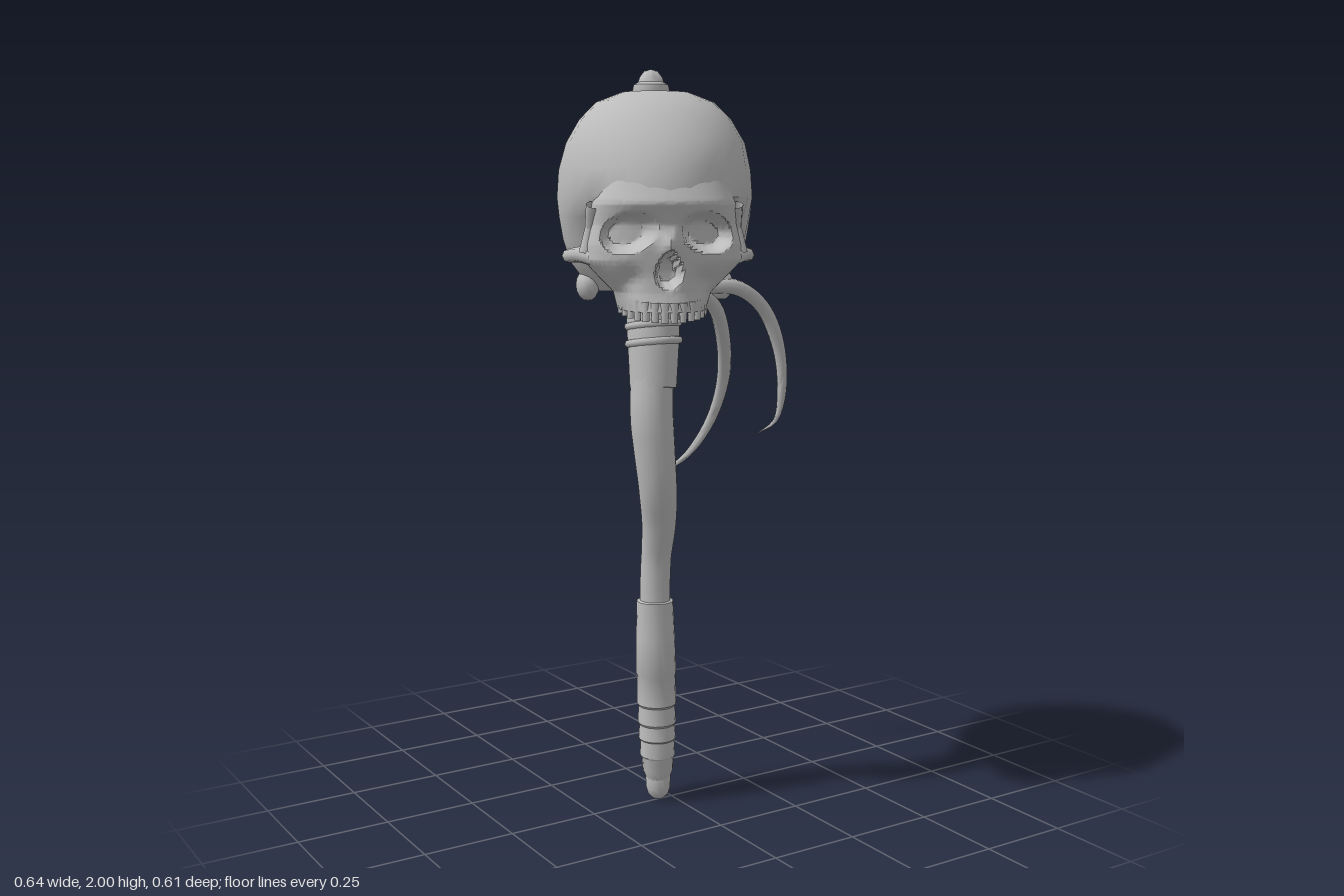
import * as THREE from 'three';
import { mergeVertices, toCreasedNormals } from 'three/addons/utils/BufferGeometryUtils.js';

const bone = new THREE.MeshStandardMaterial({ color: 0xbcbcbc, side: THREE.DoubleSide });
bone.name = 'grey bone';

const V = (x, y, z) => new THREE.Vector3(x, y, z);
const smooth = THREE.MathUtils.smoothstep;

// Linear lookup in rows sorted by their first value; returns column c
function lookup(rows, k, c = 1) {
  let i = 0;
  while (i < rows.length - 2 && k > rows[i + 1][0]) i++;
  const a = rows[i], b = rows[i + 1];
  const t = THREE.MathUtils.clamp((k - a[0]) / (b[0] - a[0]), 0, 1);
  return a[c] + (b[c] - a[c]) * t;
}

// Weld seams and give smooth normals with creases at sharp edges
function finish(geo, crease) {
  geo.deleteAttribute('uv');
  geo.deleteAttribute('normal');
  return toCreasedNormals(mergeVertices(geo, 1e-5), crease);
}

function add(parent, name, geo, x = 0, y = 0, z = 0) {
  const mesh = new THREE.Mesh(geo, bone);
  mesh.name = name;
  mesh.position.set(x, y, z);
  parent.add(mesh);
  return mesh;
}

// Surface from a rule f(u, v) -> point
function surface(nu, nv, f, crease) {
  const geo = new THREE.PlaneGeometry(1, 1, nu, nv);
  const p = geo.attributes.position;
  for (let i = 0; i < p.count; i++) {
    const q = f(p.getX(i) + 0.5, p.getY(i) + 0.5);
    p.setXYZ(i, q.x, q.y, q.z);
  }
  return finish(geo, crease);
}

// Tube along points with radius rows [t, radius]
function taperedTube(points, radii, steps, sides, crease = 0.8) {
  const curve = new THREE.CatmullRomCurve3(points.map(p => V(...p)));
  const geo = new THREE.TubeGeometry(curve, steps, 1, sides, false);
  const p = geo.attributes.position, v = V(0, 0, 0);
  for (let i = 0; i < p.count; i++) {
    const t = Math.floor(i / (sides + 1)) / steps;
    const c = curve.getPointAt(t);
    v.fromBufferAttribute(p, i).sub(c).multiplyScalar(lookup(radii, t)).add(c);
    p.setXYZ(i, v.x, v.y, v.z);
  }
  return finish(geo, crease);
}

// Cranium cross-sections: y, half width, front, back
const CRANIUM = [
  [1.45, 0, 0, 0], [1.45, 0.08, 0.02, 0.07], [1.425, 0.15, 0.05, 0.13],
  [1.46, 0.195, 0.08, 0.2], [1.5, 0.225, 0.11, 0.26], [1.56, 0.245, 0.15, 0.3],
  [1.62, 0.255, 0.2, 0.314], [1.67, 0.26, 0.3, 0.315], [1.74, 0.255, 0.29, 0.3],
  [1.81, 0.235, 0.25, 0.265], [1.87, 0.2, 0.2, 0.22], [1.915, 0.155, 0.145, 0.165],
  [1.94, 0.09, 0.08, 0.1], [1.945, 0, 0, 0],
];

function craniumPoint(u, v) {
  const [y, w, f, b] = CRANIUM[Math.round(v * (CRANIUM.length - 1))];
  const a = u * Math.PI * 2, c = Math.cos(a);
  const pinch = y < 1.78 && c > 0 ? 1 - 0.1 * c : 1;
  return V(w * Math.sin(a) * pinch, y, (c > 0 ? f : b) * c);
}

// Face cross-sections: y, half width, front, back
const FACE = [
  [1.385, 0.112, 0.292, 0.1], [1.43, 0.125, 0.28, 0.12], [1.47, 0.165, 0.278, 0.13],
  [1.51, 0.203, 0.28, 0.14], [1.55, 0.202, 0.284, 0.135], [1.6, 0.19, 0.285, 0.13],
  [1.655, 0.185, 0.313, 0.14], [1.71, 0.16, 0.285, 0.15],
];

function facePoint(u, v) {
  const y = 1.385 + v * 0.325;
  const w = lookup(FACE, y, 1), f = lookup(FACE, y, 2), b = lookup(FACE, y, 3);
  const a = (u - 0.5) * Math.PI * 1.25, c = Math.cos(a);
  const x = w * Math.sin(a);
  let z = b + (f - b) * (c > 0 ? Math.pow(c, 0.7) : 0.3 * c);
  if (c > 0) {
    // eye sockets
    const e = Math.hypot((Math.abs(x) - 0.098) / 0.068, (y - 1.582 + (Math.abs(x) - 0.098) * 0.15) / 0.05);
    z -= 0.085 * (1 - smooth(e, 0.6, 1.08));
    // nasal bridge and pear-shaped opening
    z += 0.03 * Math.exp(-((x / 0.02) ** 2) - ((y - 1.55) / 0.035) ** 2);
    const half = 0.036 - 0.25 * Math.max(0, y - 1.475);
    const n = Math.hypot(x / Math.max(half, 0.012), (y - 1.49) / 0.048);
    z -= 0.065 * (1 - smooth(n, 0.65, 1.08));
    // hollows below the cheekbones
    z -= 0.018 * Math.exp(-(((Math.abs(x) - 0.095) / 0.03) ** 2) - ((y - 1.46) / 0.03) ** 2);
  }
  return V(x, y, z);
}

function makeSkull() {
  const skull = new THREE.Group();
  skull.name = 'skull';
  add(skull, 'cranium', surface(28, CRANIUM.length - 1, craniumPoint, 0.9));
  add(skull, 'face', surface(88, 52, facePoint, 0.8));

  // palate closing the upper jaw
  add(skull, 'palate', new THREE.SphereGeometry(1, 20, 10), 0, 1.41, 0.15).scale.set(0.105, 0.025, 0.12);

  // upper teeth around the jaw arc
  const tooth = new THREE.CylinderGeometry(0.012, 0.009, 0.05, 8);
  for (let i = 0; i < 14; i++) {
    const a = ((i - 6.5) / 6.5) * 1.45, c = Math.cos(a);
    const m = add(skull, 'tooth', tooth, 0.108 * Math.sin(a), 1.383 + 0.02 * (1 - c), 0.1 + 0.185 * Math.pow(c, 0.7));
    m.rotation.y = a;
    m.scale.z = 0.8;
  }

  for (const s of [-1, 1]) {
    // cheekbone arch running back to the temple
    add(skull, 'cheekArch', taperedTube(
      [[s * 0.175, 1.52, 0.19], [s * 0.21, 1.525, 0.14], [s * 0.235, 1.52, 0.07], [s * 0.22, 1.52, 0]],
      [[0, 0.025], [0.4, 0.019], [1, 0.017]], 14, 8));
    // outer rim of the eye socket
    add(skull, 'orbitRim', taperedTube(
      [[s * 0.18, 1.65, 0.2], [s * 0.187, 1.6, 0.175], [s * 0.195, 1.53, 0.17]],
      [[0, 0.02], [0.5, 0.013], [1, 0.022]], 10, 8));
    add(skull, 'mastoid', new THREE.SphereGeometry(1, 12, 8), s * 0.18, 1.44, -0.01).scale.set(0.032, 0.042, 0.045);
  }
  add(skull, 'skullBaseRidge', new THREE.SphereGeometry(1, 14, 8), 0, 1.435, -0.13).scale.set(0.1, 0.018, 0.05);

  // the head is turned towards its right
  skull.position.x = -0.05;
  skull.rotation.y = -0.43;
  return skull;
}

export function createModel() {
  const model = new THREE.Group();
  model.name = 'skullMace';
  model.add(makeSkull());

  // finial on the crown
  const knob = [[0, 0], [0.046, 0], [0.049, 0.02], [0.046, 0.035], [0.034, 0.042], [0.03, 0.055], [0.018, 0.07], [0, 0.075]];
  add(model, 'finial', toCreasedNormals(new THREE.LatheGeometry(knob.map(p => new THREE.Vector2(...p)), 20), 0.7), -0.057, 1.925, -0.01);

  // bent shaft
  add(model, 'shaft', taperedTube(
    [[-0.05, 0.54, -0.004], [-0.05, 0.62, -0.004], [-0.05, 0.7, 0.002], [-0.056, 0.8, 0.026], [-0.074, 0.9, 0.05],
      [-0.087, 1, 0.055], [-0.094, 1.1, 0.052], [-0.087, 1.2, 0.043]],
    [[0, 0.042], [0.25, 0.042], [0.5, 0.051], [0.8, 0.058], [1, 0.058]], 36, 16));

  // neck sleeve below the skull
  add(model, 'neckSleeve', taperedTube(
    [[-0.085, 1.158, 0.045], [-0.075, 1.28, 0.03], [-0.065, 1.38, 0.012], [-0.06, 1.47, 0]],
    [[0, 0], [0.04, 0.063], [0.5, 0.071], [0.75, 0.073], [1, 0.066]], 25, 16));
  [1.29, 1.335, 1.38, 1.425].forEach((y, i) => {
    const ring = add(model, 'neckRing', new THREE.TorusGeometry(0.067, 0.011, 8, 20), -0.073 + i * 0.004, y, 0.027 - i * 0.009);
    ring.rotation.x = Math.PI / 2 - 0.15;
  });

  // grip with stepped wrappings, then the pommel
  const grip = [[0.03, 0.05], [0.036, 0.07], [0.042, 0.085], [0.045, 0.125], [0.049, 0.13], [0.047, 0.175], [0.052, 0.18],
    [0.049, 0.22], [0.053, 0.226], [0.051, 0.275], [0.055, 0.281], [0.053, 0.36], [0.056, 0.367], [0.054, 0.47], [0.05, 0.574], [0.03, 0.58]];
  const gripGeo = new THREE.LatheGeometry(grip.map(p => new THREE.Vector2(...p)), 18);
  const gp = gripGeo.attributes.position;
  for (let i = 0; i < gp.count; i++) gp.setX(i, gp.getX(i) - 0.04 - gp.getY(i) * 0.018);
  add(model, 'grip', finish(gripGeo, 0.6), 0, 0, -0.005);
  const pommel = [[0, 0], [0.017, 0.004], [0.028, 0.015], [0.034, 0.035], [0.036, 0.07], [0.03, 0.08]];
  add(model, 'pommel', new THREE.LatheGeometry(pommel.map(p => new THREE.Vector2(...p)), 16), -0.04, 0, -0.006);

  // two curved tusks on the left side
  const taper = [[0, 0.016], [0.2, 0.021], [0.5, 0.019], [0.8, 0.012], [1, 0.001]];
  add(model, 'frontTusk', taperedTube(
    [[0, 1.42, 0.07], [0.06, 1.435, 0.09], [0.15, 1.43, 0.098], [0.23, 1.375, 0.1], [0.285, 1.27, 0.098],
      [0.305, 1.14, 0.09], [0.297, 1.055, 0.07], [0.258, 1.02, 0.042]], taper, 32, 10));
  add(model, 'rearTusk', taperedTube(
    [[-0.01, 1.42, 0.03], [0.06, 1.42, 0.03], [0.13, 1.38, 0.01], [0.2, 1.28, -0.045], [0.243, 1.15, -0.11],
      [0.233, 1.02, -0.17], [0.18, 0.92, -0.22], [0.09, 0.868, -0.252]], taper, 32, 10));

  return model;
}
